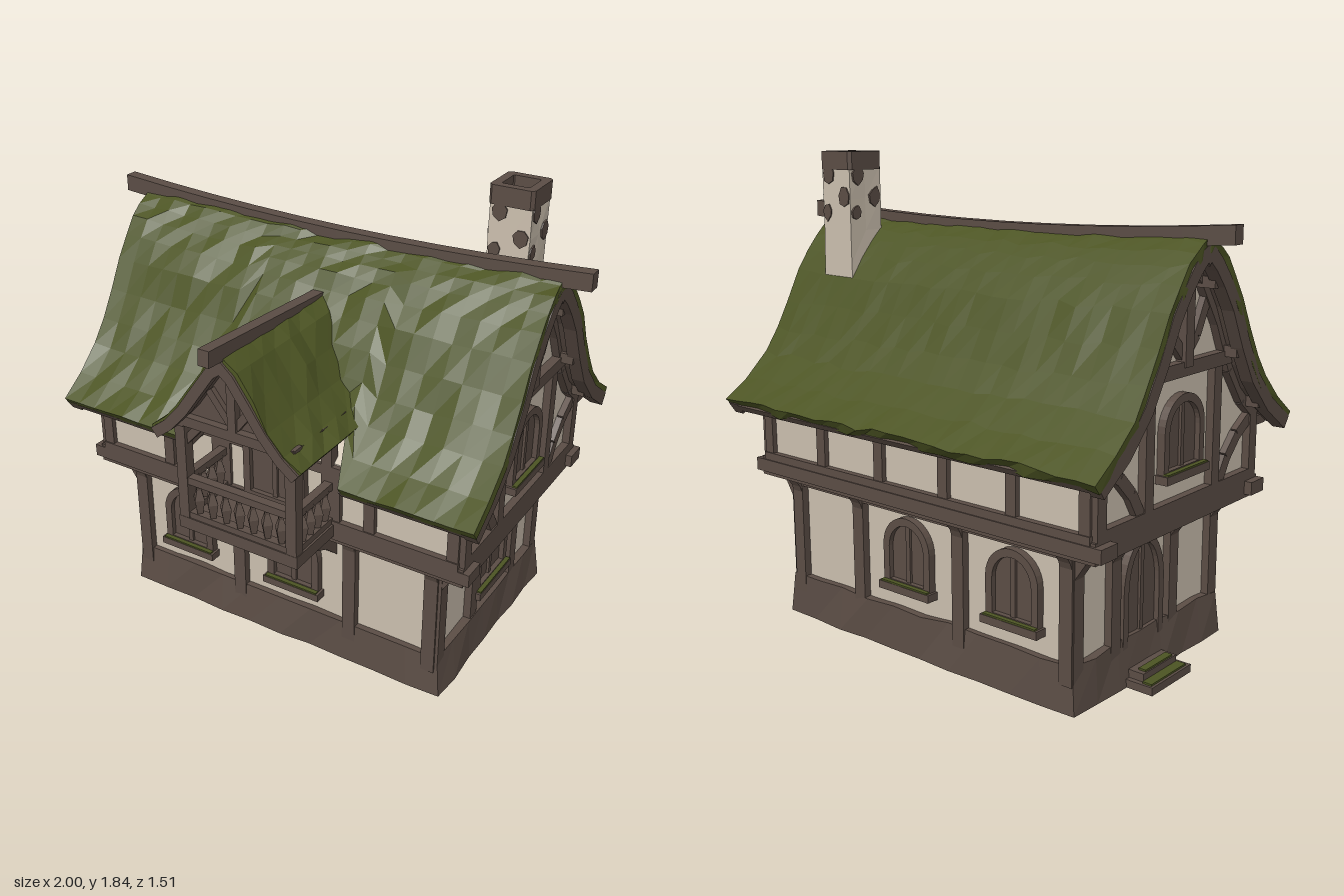
import * as THREE from 'three';

const mat = (name, color, side = THREE.FrontSide) =>
  Object.assign(new THREE.MeshStandardMaterial({ color, flatShading: true, side }), { name });
const V2 = (a) => a.map(([x, y]) => new THREE.Vector2(x, y));
const ZC = -0.125; // ridge line of the house
const DX = 0.035; // centre of the balcony dormer

export function createModel() {
  const wood = mat('timber', 0x5b4d45);
  const moss = mat('mossyThatch', 0x4c5423);
  const plaster = mat('plaster', 0xcbbfae);
  const house = new THREE.Group();
  house.name = 'timberHouse';

  const add = (parent, name, geo, m, x = 0, y = 0, z = 0) => {
    const mesh = new THREE.Mesh(geo, m);
    mesh.name = name;
    mesh.position.set(x, y, z);
    parent.add(mesh);
    return mesh;
  };
  const group = (name, x = 0, y = 0, z = 0, ry = 0) => {
    const g = new THREE.Group();
    g.name = name;
    g.position.set(x, y, z);
    g.rotation.y = ry;
    house.add(g);
    return g;
  };
  // box given by its min and max corners
  const box = (parent, name, m, x0, x1, y0, y1, z0, z1) =>
    add(parent, name, new THREE.BoxGeometry(x1 - x0, y1 - y0, z1 - z0), m, (x0 + x1) / 2, (y0 + y1) / 2, (z0 + z1) / 2);
  const extrude = (shape, depth) => new THREE.ExtrudeGeometry(shape, { depth, bevelEnabled: false, curveSegments: 8 });
  // repeatable unevenness, equal for equal positions
  const noise = (x, y, z) => {
    const s = Math.sin(Math.round(x * 500) * 12.99 + Math.round(y * 500) * 78.23 + Math.round(z * 500) * 37.72) * 43758.5;
    return (s - Math.floor(s)) * 2 - 1;
  };
  const warp = (geo, rule) => {
    const p = geo.attributes.position;
    const v = new THREE.Vector3();
    for (let i = 0; i < p.count; i++) {
      rule(v.fromBufferAttribute(p, i));
      p.setXYZ(i, v.x, v.y, v.z);
    }
    geo.computeVertexNormals();
    return geo;
  };

  // timber bar lying on a wall face, and a chain of them
  const bar = (g, name, u1, v1, u2, v2, w = 0.05, d = 0.03) => {
    const len = Math.hypot(u2 - u1, v2 - v1);
    const b = add(g, name, new THREE.BoxGeometry(len, w, d + 0.02), wood, (u1 + u2) / 2, (v1 + v2) / 2, (d - 0.02) / 2);
    b.rotation.z = Math.atan2(v2 - v1, u2 - u1);
  };
  const chain = (g, name, pts, w, d) => {
    for (let i = 1; i < pts.length; i++) bar(g, name, ...pts[i - 1], ...pts[i], w, d);
  };
  // curved bracket under the jetty, projecting out of a wall face
  const bracket = (g, u, y0, y1, out, w = 0.05) => {
    const s = new THREE.Shape(V2([[0, y0], [out * 0.25, y0 + (y1 - y0) * 0.45], [out * 0.55, y0 + (y1 - y0) * 0.75], [out, y1], [-0.02, y1], [-0.02, y0]]));
    const b = add(g, 'bracket', extrude(s, w), wood, u - w / 2, 0, 0);
    b.rotation.y = -Math.PI / 2;
    b.position.x = u + w / 2;
  };
  const arch = (w, h, path = new THREE.Shape()) => {
    path.moveTo(-w / 2, 0);
    path.lineTo(w / 2, 0);
    path.lineTo(w / 2, h * 0.58);
    path.absellipse(0, h * 0.58, w / 2, h * 0.42, 0, Math.PI);
    path.closePath();
    return path;
  };
  const opening = (g, name, u, v, w, h, sill = true) => {
    const frame = arch(w, h);
    const hole = arch(w - 0.06, h - 0.06, new THREE.Path());
    frame.holes.push(new THREE.Path(hole.getPoints(8).map((p) => p.add(new THREE.Vector2(0, 0.03)))));
    add(g, name + 'Frame', extrude(frame, 0.035), wood, u, v, -0.005);
    add(g, name + 'Panel', extrude(arch(w - 0.03, h - 0.03), 0.015), wood, u, v + 0.015, -0.005);
    bar(g, name + 'Mullion', u, v + 0.02, u, v + h - 0.03, 0.02, 0.02);
    if (!sill) return;
    box(g, name + 'Sill', wood, u - w / 2 - 0.01, u + w / 2 + 0.01, v - 0.01, v + 0.02, -0.01, 0.05);
    box(g, name + 'Moss', moss, u - w / 2, u + w / 2, v + 0.02, v + 0.026, 0.028, 0.048);
  };

  // ground floor: plinth, plaster core and the jetty above
  add(house, 'plinth', warp(new THREE.BoxGeometry(1.41, 0.17, 0.91, 10, 1, 7), (v) => {
    const k = v.y < 0 ? 1.025 : 1;
    const n = noise(v.x, v.y, v.z) * 0.006;
    v.set(v.x * k + n, v.y + (v.y > 0 ? n : 0), v.z * k + n);
  }), wood, 0.012, 0.085, ZC);
  box(house, 'groundFloorWalls', plaster, -0.665, 0.685, 0.1, 0.6, -0.555, 0.305);
  box(house, 'jettyFloor', wood, -0.82, 0.82, 0.575, 0.65, -0.635, 0.385);
  for (const z of [0.345, -0.6]) box(house, 'jettyBeam', wood, -0.85, 0.845, 0.59, 0.64, z - 0.045, z + 0.045);

  // one face per wall; u runs to the right as seen from outside
  const lower = [
    ['frontLower', 0, 0, 0.305, 0, [-0.665, -0.18, 0.33, 0.675], 0.07],
    ['rightLower', 0.685, 0, 0, Math.PI / 2, [-0.3, -0.025, 0.335, 0.55], 0.12],
    ['backLower', 0, 0, -0.555, Math.PI, [-0.675, -0.33, 0.18, 0.665], 0.07],
    ['leftLower', -0.665, 0, 0, -Math.PI / 2, [-0.55, -0.335, 0.025, 0.3], 0.13],
  ].map(([name, x, y, z, r, posts, out]) => {
    const g = group(name, x, y, z, r);
    posts.forEach((u) => {
      bar(g, 'post', u, 0.1, u, 0.58, 0.055);
      bracket(g, u, 0.4, 0.59, out);
    });
    bar(g, 'wallPlate', posts[0], 0.57, posts[3], 0.57, 0.05);
    return g;
  });
  for (const u of [-0.43, 0.075]) opening(lower[0], 'window', u, 0.25, 0.235, 0.28);
  for (const u of [0.43, -0.075]) opening(lower[2], 'window', u, 0.25, 0.235, 0.28);
  opening(lower[1], 'window', 0.13, 0.25, 0.27, 0.28);
  opening(lower[3], 'door', -0.165, 0.07, 0.25, 0.46, false);

  // door steps
  box(house, 'lowerStep', wood, -0.82, -0.68, 0, 0.03, -0.29, -0.04);
  box(house, 'upperStep', wood, -0.77, -0.68, 0.03, 0.06, -0.27, -0.06);
  box(house, 'stepMoss', moss, -0.81, -0.772, 0.03, 0.037, -0.28, -0.06);
  box(house, 'stepMoss', moss, -0.765, -0.735, 0.06, 0.067, -0.25, -0.08);

  // upper floor, a gabled block along x
  const half = [[0.49, 0.62], [0.49, 0.9], [0.4, 0.97], [0.3, 1.1], [0.21, 1.28], [0.1, 1.44], [0, 1.52]];
  const gableOutline = [...half, ...half.slice(0, -1).reverse().map(([d, y]) => [-d, y])];
  const upper = add(house, 'upperFloorWalls', extrude(new THREE.Shape(V2(gableOutline)), 1.58), plaster, -0.79, 0, ZC);
  upper.rotation.y = Math.PI / 2;

  [['frontUpper', 0.365, 0, [-0.775, -0.465, -0.23, 0.295, 0.44, 0.775]],
    ['backUpper', -0.615, Math.PI, [-0.775, -0.47, -0.16, 0.16, 0.47, 0.775]]].forEach(([name, z, r, posts]) => {
    const g = group(name, 0, 0, z, r);
    posts.forEach((u) => bar(g, 'post', u, 0.63, u, 0.88, 0.045, 0.02));
    bar(g, 'sillBeam', -0.8, 0.655, 0.8, 0.655, 0.03, 0.025);
    bar(g, 'eaveBeam', -0.8, 0.875, 0.8, 0.875, 0.04, 0.02);
    for (let i = 0; i < 11; i++) {
      const u = -0.8 + i * 0.16;
      if (r === 0 && Math.abs(u - DX) < 0.3) continue;
      box(g, 'rafterTail', wood, u - 0.015, u + 0.015, 0.84, 0.875, 0, 0.08);
    }
  });

  for (const s of [1, -1]) {
    const g = group(s > 0 ? 'rightGable' : 'leftGable', s * 0.79, 0, ZC, s * Math.PI / 2);
    bar(g, 'sillBeam', -0.5, 0.665, 0.5, 0.665, 0.035);
    bar(g, 'tieBeam', -0.29, 1.135, 0.29, 1.135, 0.05, 0.035);
    bar(g, 'kingPost', 0, 1.14, 0, 1.56, 0.05, 0.04);
    opening(g, 'window', 0, 0.765, 0.25, 0.285);
    for (const k of [1, -1]) {
      bar(g, 'cornerPost', k * 0.475, 0.63, k * 0.475, 0.91, 0.05);
      bar(g, 'stud', k * 0.21, 0.65, k * 0.21, 1.13, 0.05);
      chain(g, 'curvedBrace', [[k * 0.47, 0.89], [k * 0.37, 0.83], [k * 0.3, 0.76], [k * 0.245, 0.67]], 0.045, 0.025);
      chain(g, 'gableBrace', [[0, 1.17], [k * 0.07, 1.24], [k * 0.14, 1.37]], 0.04, 0.025);
      chain(g, 'innerRafter', half.slice(1).map(([d, y]) => [k * d, y - 0.01]), 0.05, 0.03);
      for (const [d, y] of [[0.1, 1.42], [0.26, 1.16], [0.43, 0.95]]) box(g, 'purlinEnd', wood, k * d - 0.02, k * d + 0.02, y - 0.02, y + 0.02, -0.02, 0.08);
    }
  }

  // curved roof layer: a box bent over a half profile; offsets run along the profile normal
  const roofLayer = (pts, len, nx, nz, top, bottom, rough, x0 = 0, cut = false) => {
    const curve = new THREE.SplineCurve(V2(pts));
    return warp(new THREE.BoxGeometry(len, 1, 2, nx, 1, nz), (v) => {
      const x = v.x + x0;
      let u = Math.abs(v.z);
      if (cut && v.z > 0 && Math.abs(x - 0.0375) < 0.27) u *= 0.83;
      const p = curve.getPoint(u);
      const t = curve.getTangent(u);
      const off = v.y > 0 ? top : bottom;
      const ridge = u < 0.001;
      const n = noise(v.x, v.y, v.z) * rough;
      const d = ridge ? 0 : p.x - t.y * off;
      const sag = cut ? 0.025 * (x * x - 0.8) * (1 - u) : 0;
      v.set(x + n * 0.5, p.y + (ridge ? off * 1.4 : t.x * off) + sag + n, Math.sign(v.z) * d + (ridge ? 0 : n));
    });
  };
  const mainProfile = [[0, 1.575], [0.06, 1.54], [0.13, 1.47], [0.22, 1.35], [0.32, 1.16], [0.43, 1.01], [0.61, 0.88]];
  add(house, 'mossRoof', roofLayer(mainProfile, 1.79, 24, 20, 0.012, -0.03, 0.009, 0, true), moss, 0, 0, ZC);
  add(house, 'roofBoards', roofLayer(mainProfile, 1.74, 24, 20, -0.02, -0.048, 0, 0, true), wood, 0, 0, ZC);
  for (const s of [1, -1]) add(house, 'bargeboard', roofLayer(mainProfile, 0.05, 1, 16, -0.012, -0.065, 0, s * 0.872), wood, 0, 0, ZC);
  add(house, 'ridgeBeam', warp(new THREE.BoxGeometry(2, 0.065, 0.05, 10, 1, 1), (v) => {
    v.y += 0.04 * v.x * v.x;
  }), wood, 0, 1.553, ZC);

  // balcony
  const balcony = group('balcony', DX, 0, 0);
  box(balcony, 'balconyFloor', wood, -0.26, 0.26, 0.605, 0.655, 0.34, 0.635);
  const spindle = new THREE.LatheGeometry(V2([[0.008, 0.65], [0.014, 0.68], [0.026, 0.74], [0.012, 0.78], [0.018, 0.81]]), 4);
  for (const y of [0.665, 0.815]) {
    box(balcony, 'frontRail', wood, -0.24, 0.24, y - 0.015, y + 0.015, 0.595, 0.63);
    for (const s of [1, -1]) box(balcony, 'sideRail', wood, s * 0.235 - 0.017, s * 0.235 + 0.017, y - 0.015, y + 0.015, 0.36, 0.61);
  }
  for (let i = 0; i < 7; i++) add(balcony, 'spindle', spindle, wood, -0.18 + i * 0.06, 0, 0.612);
  for (const s of [1, -1]) {
    for (let i = 0; i < 4; i++) add(balcony, 'spindle', spindle, wood, s * 0.235, 0, 0.41 + i * 0.05);
    box(balcony, 'balconyPost', wood, s * 0.235 - 0.022, s * 0.235 + 0.022, 0.61, 1.09, 0.59, 0.634);
    box(balcony, 'wallPost', wood, s * 0.225 - 0.022, s * 0.225 + 0.022, 0.63, 1.08, 0.34, 0.385);
    box(balcony, 'dormerPlate', wood, s * 0.235 - 0.02, s * 0.235 + 0.02, 1.045, 1.085, 0.3, 0.64);
    const strut = group('balconyStrut', DX + s * 0.2, 0, 0.305);
    bracket(strut, 0, 0.46, 0.61, 0.31);
  }

  // dormer walls, door and gable
  const dormerWall = new THREE.Shape(V2([[-0.225, 0.63], [0.225, 0.63], [0.225, 1.07], [0.15, 1.17], [0, 1.35], [-0.15, 1.17], [-0.225, 1.07]]));
  add(balcony, 'dormerWall', extrude(dormerWall, 0.25), plaster, 0, 0, 0.122);
  const doorFace = group('balconyDoorFace', DX, 0, 0.372);
  opening(doorFace, 'balconyDoor', 0.005, 0.66, 0.27, 0.4, false);
  const gableFace = group('dormerGable', DX, 0, 0.61);
  add(gableFace, 'gablePanel', extrude(new THREE.Shape(V2([[-0.22, 1.06], [0.22, 1.06], [0.13, 1.19], [0, 1.36], [-0.13, 1.19]])), 0.02), wood, 0, 0, -0.02);
  bar(gableFace, 'collarBeam', -0.25, 1.07, 0.25, 1.07, 0.04);
  bar(gableFace, 'kingPost', 0, 1.07, 0, 1.37, 0.035);
  for (const k of [1, -1]) {
    bar(gableFace, 'gableBrace', 0, 1.09, k * 0.1, 1.22, 0.03, 0.02);
    bar(gableFace, 'postBrace', k * 0.23, 0.97, k * 0.15, 1.06, 0.03, 0.01);
  }

  // dormer roof, running along z
  const dormerProfile = [[0, 1.385], [0.07, 1.32], [0.15, 1.2], [0.23, 1.1], [0.31, 1.035]];
  const dormerRoof = group('dormerRoof', DX - 0.005, 0, 0.36, Math.PI / 2);
  add(dormerRoof, 'dormerMoss', roofLayer(dormerProfile, 0.65, 8, 10, 0.01, -0.02, 0.007), moss);
  add(dormerRoof, 'dormerBoards', roofLayer(dormerProfile, 0.62, 1, 10, -0.012, -0.035, 0), wood);
  add(dormerRoof, 'dormerBargeboard', roofLayer(dormerProfile, 0.035, 1, 10, 0.002, -0.04, 0, -0.315), wood);
  const dormerRidge = add(house, 'dormerRidgeBeam', new THREE.BoxGeometry(0.045, 0.06, 0.74), wood, 0.022, 1.393, 0.39);
  dormerRidge.rotation.x = -0.065;

  // chimney with a hollow cap and bare patches
  const chimney = group('chimney', 0.648, 0, -0.275);
  add(chimney, 'chimneyStack', warp(new THREE.BoxGeometry(0.155, 0.62, 0.155, 2, 5, 2), (v) => {
    v.x += noise(v.x, v.y, v.z) * 0.003;
    v.z *= 1.03 - v.y * 0.06;
  }), plaster, 0, 1.47, 0);
  const square = (r, c) => V2([[-r, -r + c], [-r + c, -r], [r - c, -r], [r, -r + c], [r, r - c], [r - c, r], [-r + c, r], [-r, r - c]]);
  const cap = new THREE.Shape(square(0.085, 0.012));
  cap.holes.push(new THREE.Path(square(0.052, 0.004)));
  add(chimney, 'chimneyCap', extrude(cap, 0.07), wood, 0, 1.765, 0).rotation.x = -Math.PI / 2;
  box(chimney, 'flueBottom', wood, -0.06, 0.06, 1.765, 1.785, -0.06, 0.06);
  for (let i = 0; i < 4; i++) {
    const side = group('barePatches', 0.648, 0, -0.275, i * Math.PI / 2);
    [[-0.052, 1.6, 0.024], [0.045, 1.66, 0.03], [-0.04, 1.745, 0.03]].forEach(([u, v, r]) => {
      const patch = warp(new THREE.CylinderGeometry(r, r, 0.008, 7).rotateX(Math.PI / 2), (p) => {
        p.y *= 1.2 + 0.3 * noise(p.x, p.y, i);
      });
      add(side, 'barePatch', patch, wood, u, v, 0.08);
    });
  }
  return house;
}
